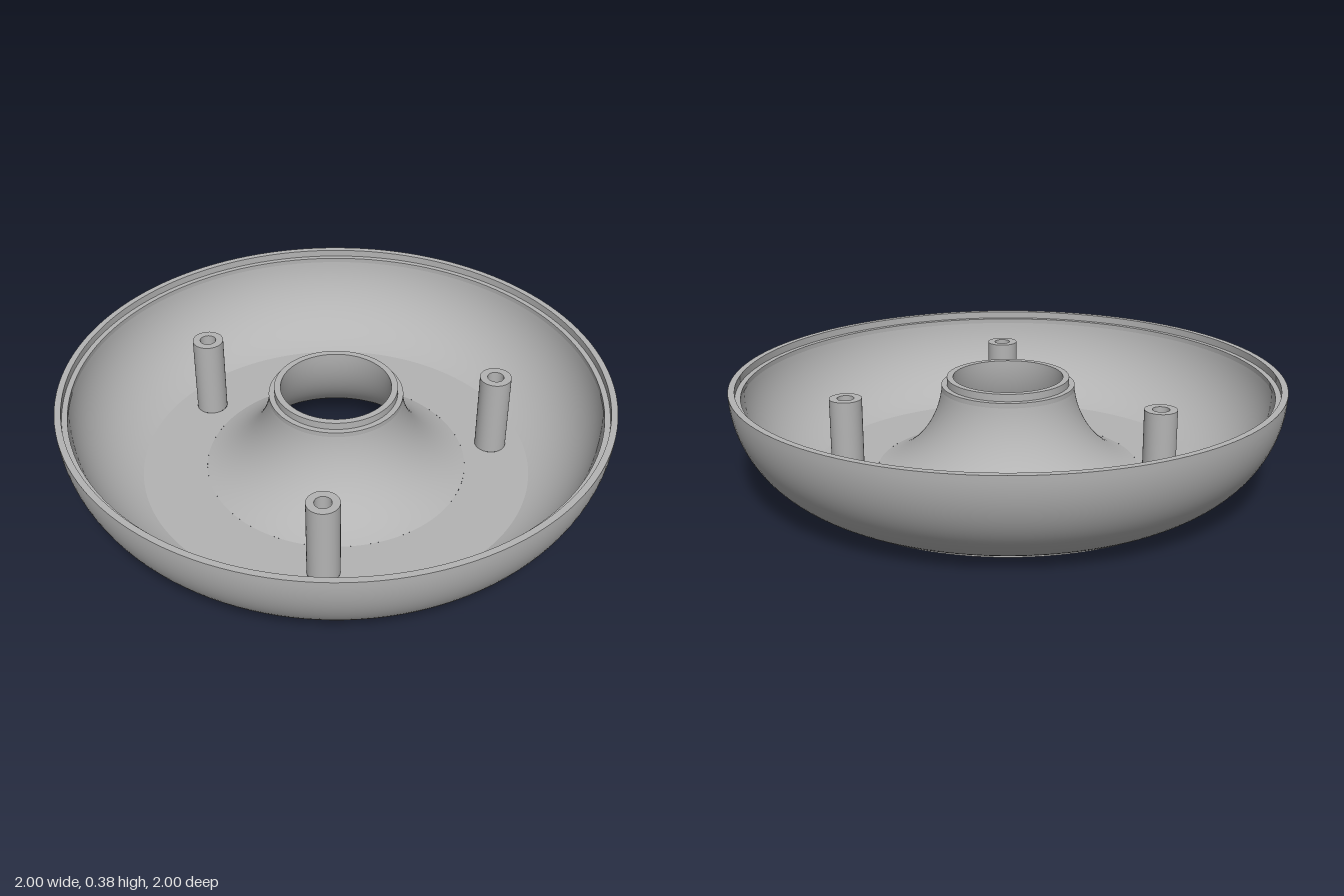
import * as THREE from 'three';

const RIM_Y = 0.385, MID_R = 0.6, OUTER_R = 0.4, INNER_R = 0.36;
const FLAT = 0.13;      // half width of the flat band under the ring
const FLOOR_Y = 0.045;  // inside floor height
const BORE = 0.047, HOLE = 0.03, POST = 0.058;
const POSTS = [[-0.45, 0.4], [0.49, 0.34], [-0.11, -0.59]];

export function createModel() {
  const grey = new THREE.MeshStandardMaterial({ color: 0xb4b4b4 });
  grey.name = 'grey plastic';
  const model = new THREE.Group();
  model.name = 'ringHousing';

  const add = (parent, name, geometry) => {
    const mesh = new THREE.Mesh(geometry, grey);
    mesh.name = name;
    parent.add(mesh);
    return mesh;
  };

  // Smooth revolved surface; the profile runs counterclockwise round the wall
  const revolve = (parent, name, pts, segs = 128) =>
    add(parent, name, new THREE.LatheGeometry(pts.map(p => new THREE.Vector2(...p)), segs));

  // Revolved profile with a hard edge at every point
  const revolveSharp = (parent, name, pts, segs = 128) => {
    const group = new THREE.Group();
    group.name = name;
    for (let i = 1; i < pts.length; i++) revolve(group, name + 'Face' + i, [pts[i - 1], pts[i]], segs);
    parent.add(group);
  };

  // Arc of the half-round cross-section between two angles
  const arc = (radius, from, to, n = 24) => Array.from({ length: n + 1 }, (_, i) => {
    const a = from + (to - from) * i / n;
    return [MID_R + radius * Math.cos(a), RIM_Y + radius * Math.sin(a)];
  });

  // Angles where the arcs meet the flat bands and the rim ledges
  const outA = -Math.acos(FLAT / OUTER_R);
  const inA = -Math.asin((RIM_Y - FLOOR_Y) / INNER_R);
  const ledgeA = -Math.asin(0.045 / INNER_R);

  // Bowl: outer skin, stepped rim, inner skin
  revolve(model, 'outerBowl', arc(OUTER_R, outA, 0));
  const inner = arc(INNER_R, ledgeA, inA);
  revolveSharp(model, 'outerRim', [[1, RIM_Y], [0.977, RIM_Y], [0.977, 0.358], [0.957, 0.358], inner[0]]);
  revolve(model, 'innerBowl', inner);

  // Central hub: flared inner cone, stepped lip, underside funnel
  const cone = arc(INNER_R, -Math.PI - inA, -Math.PI - ledgeA);
  revolve(model, 'hubCone', cone);
  revolveSharp(model, 'hubLip', [cone[24], [0.243, 0.358], [0.223, 0.358], [0.223, RIM_Y], [0.2, RIM_Y]]);
  revolve(model, 'hubFunnel', arc(OUTER_R, -Math.PI, -Math.PI - outA));

  // Shallow edges of the flat foot
  const footY = RIM_Y + OUTER_R * Math.sin(outA);
  revolve(model, 'footOuterEdge', [[MID_R + FLAT, 0], [MID_R + FLAT, footY]]);
  revolve(model, 'footInnerEdge', [[MID_R - FLAT, footY], [MID_R - FLAT, 0]]);

  // Flat ring with three screw holes, facing up or down
  const plate = (name, inside, outside, holeR, y, up) => {
    const shape = new THREE.Shape().absarc(0, 0, outside, 0, Math.PI * 2);
    const s = up ? -1 : 1;
    for (const [x, z, r] of [[0, 0, inside], ...POSTS.map(p => [...p, holeR])]) {
      shape.holes.push(new THREE.Path().absarc(x, z * s, r, 0, Math.PI * 2, true));
    }
    const geometry = new THREE.ShapeGeometry(shape, 128);
    geometry.rotateX(s * Math.PI / 2);
    add(model, name, geometry).position.y = y;
  };
  plate('underside', MID_R - FLAT, MID_R + FLAT, BORE, 0, false);
  plate('floor', cone[0][0], inner[24][0], POST, FLOOR_Y, true);

  // Hollow screw posts with a wider bore from below
  for (const [x, z] of POSTS) {
    const post = new THREE.Group();
    post.name = 'screwPost';
    post.position.set(x, 0, z);
    revolveSharp(post, 'postWall', [
      [POST, FLOOR_Y], [POST, 0.352], [HOLE, 0.352], [HOLE, 0.2], [BORE, 0.2], [BORE, 0],
    ], 40);
    model.add(post);
  }
  return model;
}
